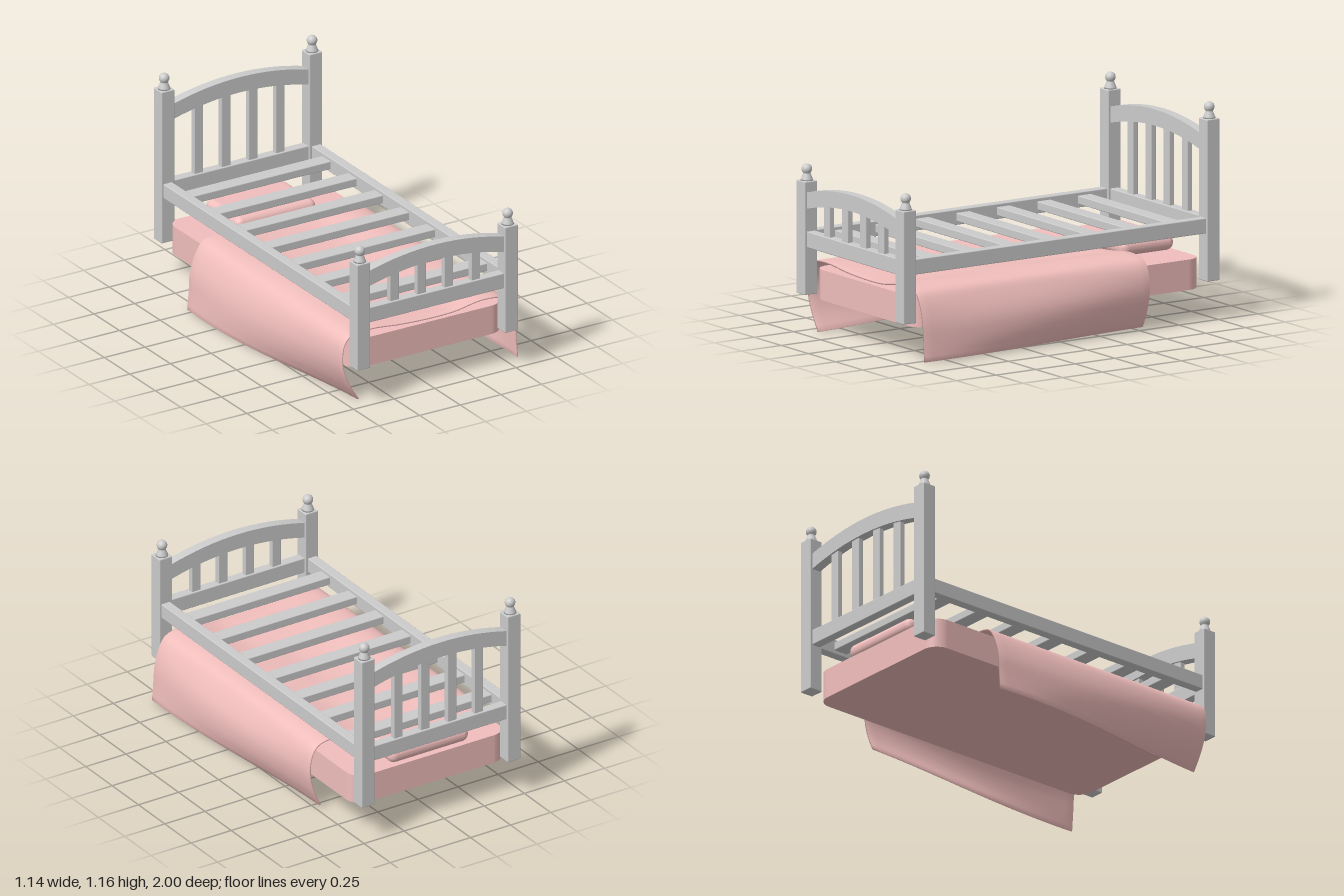
import * as THREE from 'three';
import { RoundedBoxGeometry } from 'three/addons/geometries/RoundedBoxGeometry.js';

const CX = 0.018; // centre line of the frame

export function createModel() {
  const root = new THREE.Group();
  const wood = new THREE.MeshStandardMaterial({ color: 0xcccccc });
  const cloth = new THREE.MeshStandardMaterial({ color: 0xf0bebc });
  const sheet = new THREE.MeshStandardMaterial({ color: 0xf0bebc, side: THREE.DoubleSide });

  function add(name, geometry, material, x = 0, y = 0, z = 0, parent = root) {
    const mesh = new THREE.Mesh(geometry, material);
    mesh.name = name;
    mesh.position.set(x, y, z);
    parent.add(mesh);
    return mesh;
  }
  const bar = (w, h, d) => new RoundedBoxGeometry(w, h, d, 2, 0.005);

  // Turned finial: tapered neck below a ball
  const finialPoints = [[0, 0], [0.033, 0], [0.031, 0.008], [0.02, 0.036]].map(p => new THREE.Vector2(...p));
  for (let i = 0; i <= 12; i++) {
    const a = -0.8 + (i / 12) * (Math.PI / 2 + 0.8);
    finialPoints.push(new THREE.Vector2(Math.max(0, 0.028 * Math.cos(a)), 0.06 + 0.028 * Math.sin(a)));
  }
  const finial = new THREE.LatheGeometry(finialPoints, 24);

  // Bowed rail, extruded along z
  function archGeometry(yEnd, rise, height, depth) {
    const h = 0.42;
    const s = new THREE.Shape();
    s.moveTo(-h, yEnd - height);
    s.quadraticCurveTo(0, yEnd - height + 2 * rise, h, yEnd - height);
    s.lineTo(h, yEnd);
    s.quadraticCurveTo(0, yEnd + 2 * rise, -h, yEnd);
    const g = new THREE.ExtrudeGeometry(s, { depth, bevelEnabled: false, curveSegments: 16 });
    return g.translate(0, 0, -depth / 2);
  }

  // Headboard and footboard share one layout
  function endBoard(name, z, postTop, archEnd) {
    const board = new THREE.Group();
    board.name = name;
    board.position.set(CX, 0, z);
    root.add(board);
    for (const side of [-1, 1]) {
      add('post', bar(0.08, postTop - 0.217, 0.08), wood, side * 0.455, (postTop + 0.217) / 2, 0, board);
      add('finial', finial, wood, side * 0.455, postTop, 0, board);
    }
    add('archedRail', archGeometry(archEnd, 0.057, 0.087, 0.054), wood, 0, 0, 0, board);
    add('lowerRail', bar(0.84, 0.086, 0.054), wood, 0, 0.512, 0, board);
    for (let i = 0; i < 4; i++) {
      const x = (i - 1.5) * 0.167;
      const top = archEnd - 0.03 + 0.057 * (1 - (x / 0.42) ** 2);
      add('spindle', bar(0.056, top - 0.54, 0.032), wood, x, (top + 0.54) / 2, 0, board);
    }
  }
  endBoard('headboard', -0.96, 1.08, 0.991);
  endBoard('footboard', 0.96, 0.82, 0.763);

  // Side rails and slats
  for (const side of [-1, 1])
    add('sideRail', bar(0.054, 0.082, 1.86), wood, CX + side * 0.457, 0.514, 0);
  for (let i = 0; i < 7; i++)
    add('slat', bar(0.88, 0.045, 0.085), wood, CX, 0.515, -0.78 + i * 0.256);

  // Mattress: rounded corners in plan, crisp top and bottom edges
  const w = 0.475, l = 0.905, r = 0.085;
  const plan = new THREE.Shape();
  plan.absarc(w - r, l - r, r, 0, Math.PI / 2);
  plan.absarc(-w + r, l - r, r, Math.PI / 2, Math.PI);
  plan.absarc(-w + r, -l + r, r, Math.PI, Math.PI * 1.5);
  plan.absarc(w - r, -l + r, r, Math.PI * 1.5, Math.PI * 2);
  const mattress = new THREE.ExtrudeGeometry(plan, { depth: 0.162, bevelEnabled: false, curveSegments: 8 });
  add('mattress', mattress.rotateX(-Math.PI / 2), cloth, CX, 0.183, 0);

  add('pillow', new RoundedBoxGeometry(0.495, 0.085, 0.335, 6, 0.04), cloth, 0.013, 0.388, -0.728);

  add('blanket', blanketGeometry(), sheet);
  return root;
}

// Draped cover: a cross-section from hem to hem that changes along the bed
function blanketGeometry() {
  const rows = 28, cols = 48, thick = 0.008;
  const mix = THREE.MathUtils.lerp;
  const positions = [], index = [];
  for (let j = 0; j <= rows; j++) {
    const t = j / rows; // 0 at the head end, 1 at the foot
    const z = mix(-0.54, 0.905, t);
    const s = THREE.MathUtils.smoothstep(t, 0, 1);
    const swell = Math.sin(Math.PI * t);
    const ripple = 0.006 * Math.sin(t * 9);
    const mid = 0.366 + ripple;
    const profile = [
      [mix(-0.558, -0.415, s) - 0.035 * swell, 0.006],
      [mix(-0.55, -0.472, s) - 0.035 * swell, 0.1],
      [mix(-0.542, -0.51, s) - 0.022 * swell, 0.21],
      [-0.503 - 0.008 * swell, 0.325],
      [-0.46, 0.378],
      [-0.34, 0.395 - ripple * 0.5],
      [-0.15, 0.374 + ripple],
      [0.02, mid],
      [0.18, 0.374 - ripple],
      [0.35, 0.395 + ripple * 0.5],
      [0.48, 0.378],
      [0.523, 0.325],
      [mix(0.538, 0.555, s) + 0.02 * swell, 0.22],
      [mix(0.515, 0.564, s) + 0.026 * swell, 0.11],
      [mix(0.474, 0.572, s) + 0.012 * swell, 0.016],
    ];
    const curve = new THREE.CatmullRomCurve3(profile.map(([x, y]) => new THREE.Vector3(x, y, z)), false, 'centripetal');
    const outer = [], inner = [];
    for (let i = 0; i <= cols; i++) {
      const p = curve.getPoint(i / cols), d = curve.getTangent(i / cols);
      outer.push(p);
      inner.unshift(new THREE.Vector3(p.x + d.y * thick, p.y - d.x * thick, z));
    }
    for (const p of [...outer, ...inner]) positions.push(p.x, Math.max(0, p.y), p.z);
  }
  const n = 2 * (cols + 1);
  for (let j = 0; j < rows; j++)
    for (let i = 0; i < n; i++) {
      const a = j * n + i, b = j * n + (i + 1) % n;
      index.push(a, a + n, b, b, a + n, b + n);
    }
  // Closing strips at the head and foot edges
  for (let i = 0; i < cols; i++) {
    const a = i, b = i + 1, c = n - 1 - i, d = n - 2 - i, f = rows * n;
    index.push(a, b, c, b, d, c);
    index.push(f + a, f + c, f + b, f + b, f + c, f + d);
  }
  const g = new THREE.BufferGeometry();
  g.setAttribute('position', new THREE.Float32BufferAttribute(positions, 3));
  g.setIndex(index);
  g.computeVertexNormals();
  return g;
}
